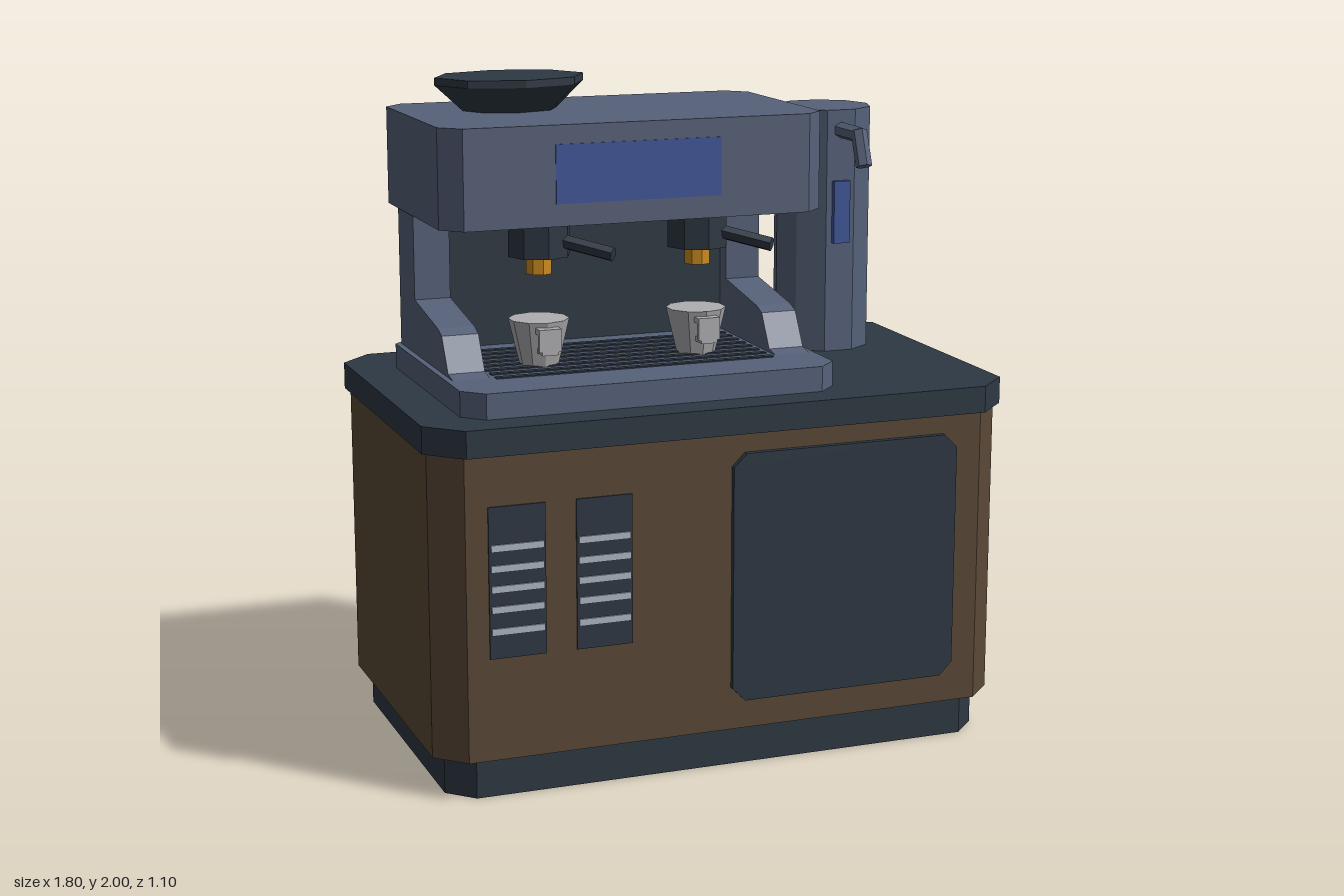
import * as THREE from 'three';

const mat = (name, color) => {
  const m = new THREE.MeshStandardMaterial({ color });
  m.name = name;
  m.flatShading = true;
  return m;
};

export function createModel() {
  const root = new THREE.Group();
  root.name = 'coffeeStation';
  const steel = mat('blueSteel', 0x566179);
  const dark = mat('darkSlate', 0x2e3843);
  const wood = mat('brownWood', 0x5a4836);
  const blue = mat('displayBlue', 0x3f5598);
  const brass = mat('brass', 0xcc8c20);
  const pale = mat('paleMetal', 0xaeb9c4);
  const cupGrey = mat('cupGrey', 0xaeaeb2);

  const add = (name, geo, material, x = 0, y = 0, z = 0, parent = root) => {
    const m = new THREE.Mesh(geo, material);
    m.name = name;
    m.position.set(x, y, z);
    parent.add(m);
    return m;
  };

  // Box given by its limits on each axis
  const box = (name, material, x0, x1, y0, y1, z0, z1, parent = root) =>
    add(name, new THREE.BoxGeometry(x1 - x0, y1 - y0, z1 - z0), material,
      (x0 + x1) / 2, (y0 + y1) / 2, (z0 + z1) / 2, parent);

  // Rectangle with cut corners
  const cutRect = (w, h, c) => new THREE.Shape([
    [-w + c, -h], [w - c, -h], [w, -h + c], [w, h - c],
    [w - c, h], [-w + c, h], [-w, h - c], [-w, -h + c],
  ].map(([a, b]) => new THREE.Vector2(a, b)));

  // Upright block with chamfered vertical edges
  const block = (name, material, x, z, w, d, c, y0, y1) => {
    const g = new THREE.ExtrudeGeometry(cutRect(w, d, c), { depth: y1 - y0, bevelEnabled: false });
    g.rotateX(-Math.PI / 2);
    return add(name, g, material, x, y0, z);
  };

  // Straight rod between two points
  const rod = (name, material, a, b, r, parent = root) => {
    const p = new THREE.Vector3(...a), q = new THREE.Vector3(...b);
    const m = add(name, new THREE.CylinderGeometry(r, r, p.distanceTo(q), 6), material, 0, 0, 0, parent);
    m.position.copy(p).lerp(q, 0.5);
    m.quaternion.setFromUnitVectors(new THREE.Vector3(0, 1, 0), q.sub(p).normalize());
    return m;
  };

  // Cabinet
  block('plinth', dark, 0, 0, 0.845, 0.49, 0.075, 0, 0.12);
  block('cabinet', wood, 0, 0, 0.885, 0.52, 0.085, 0.12, 1.02);
  block('counterTop', dark, 0, 0, 0.9, 0.548, 0.1, 1.02, 1.1);
  add('door', new THREE.ExtrudeGeometry(cutRect(0.357, 0.375, 0.04), { depth: 0.018, bevelEnabled: false }),
    dark, 0.358, 0.585, 0.52);

  // Two vents with pale slats
  for (const x of [-0.65, -0.39]) {
    box('vent', dark, x - 0.084, x + 0.084, 0.425, 0.87, 0.517, 0.525);
    for (const y of [0.505, 0.57, 0.63, 0.69, 0.75])
      box('ventSlat', pale, x - 0.078, x + 0.078, y - 0.01, y + 0.01, 0.522, 0.53);
  }

  // Espresso machine body
  const cx = -0.195;
  block('dripBase', steel, cx, 0.03, 0.573, 0.41, 0.06, 1.1, 1.175);
  block('machineHead', steel, cx, -0.04, 0.585, 0.335, 0.058, 1.61, 1.9);
  box('backPanel', dark, cx - 0.51, cx + 0.51, 1.175, 1.61, -0.368, -0.2);
  box('neck', dark, cx - 0.555, cx + 0.555, 1.59, 1.61, -0.32, -0.15);
  box('headDisplay', blue, -0.45, 0.055, 1.675, 1.845, 0.29, 0.298);

  // Side columns and sloping cheeks, mirrored
  const cheek = new THREE.Shape([
    [-0.27, 1.17], [-0.2, 1.185], [-0.14, 1.285], [-0.1, 1.3], [0.15, 1.34], [0.15, 1.17],
  ].map(([a, b]) => new THREE.Vector2(a, b)));
  const column = new THREE.Shape([
    [-0.055, 0.15], [0.055, 0.15], [0.055, 0.32], [0.015, 0.362], [-0.055, 0.362],
  ].map(([a, b]) => new THREE.Vector2(a, b)));
  for (const s of [-1, 1]) {
    const pts = column.getPoints().map((p) => new THREE.Vector2(p.x * s, -p.y));
    const g = new THREE.ExtrudeGeometry(new THREE.Shape(pts), { depth: 0.415, bevelEnabled: false });
    g.rotateX(-Math.PI / 2);
    g.scale(1, 1, -1);
    // Restore outward winding after the flip
    const a = g.attributes.position;
    for (let i = 0; i < a.count; i += 3) {
      const p = new THREE.Vector3().fromBufferAttribute(a, i);
      const q = new THREE.Vector3().fromBufferAttribute(a, i + 1);
      a.setXYZ(i, q.x, q.y, q.z);
      a.setXYZ(i + 1, p.x, p.y, p.z);
    }
    g.scale(1, 1, 1);
    g.computeVertexNormals();
    const m = add('sideColumn', g, steel, cx + s * 0.5, 1.175, 0);
    g.computeBoundingBox();
    if (g.boundingBox.max.z > 0) m.position.z = 0, m.rotation.y = Math.PI, m.position.x = cx + s * 0.5;
    if (m.rotation.y) g.scale(-1, 1, 1), flip(g);

    const c = new THREE.ExtrudeGeometry(cheek, { depth: 0.11, bevelEnabled: false });
    c.rotateY(Math.PI / 2);
    add('sideCheek', c, steel, cx + s * 0.5 - 0.055, 0, 0);
  }

  // Drip grate slots
  for (let i = 0; i < 8; i++) {
    const z = -0.12 + i * 0.054;
    box('grateSlot', dark, cx - 0.43, cx + 0.43, 1.172, 1.179, z - 0.011, z + 0.011);
  }

  // Bean hopper: an eight-sided flared bowl, squashed in depth
  const hopper = new THREE.Group();
  hopper.name = 'beanHopper';
  hopper.position.set(-0.453, 1.9, -0.127);
  hopper.scale.z = 0.725;
  root.add(hopper);
  add('hopperBowl', new THREE.CylinderGeometry(0.23, 0.145, 0.078, 8), dark, 0, 0.039, 0, hopper);
  add('hopperRim', new THREE.CylinderGeometry(0.23, 0.23, 0.022, 8), dark, 0, 0.089, 0, hopper);

  // Brew groups with a cup under each
  for (const x of [-0.445, 0.05]) {
    const brew = new THREE.Group();
    brew.name = 'brewGroup';
    brew.position.set(x, 0, 0.115);
    root.add(brew);
    add('groupHead', new THREE.CylinderGeometry(0.094, 0.094, 0.11, 8), dark, 0, 1.555, 0, brew);
    add('spout', new THREE.CylinderGeometry(0.04, 0.04, 0.06, 8), brass, 0, 1.477, 0, brew);
    rod('filterHandle', dark, [0.04, 1.55, 0.04], [0.175, 1.516, 0.155], 0.022, brew);

    const cup = new THREE.Group();
    cup.name = 'cup';
    cup.position.set(x, 1.175, 0.105);
    root.add(cup);
    add('cupBody', new THREE.CylinderGeometry(0.09, 0.058, 0.137, 10), cupGrey, 0, 0.0685, 0, cup);
    box('handleTop', cupGrey, -0.034, 0.034, 0.105, 0.122, 0.06, 0.11, cup);
    box('handleFront', cupGrey, -0.034, 0.034, 0.055, 0.122, 0.097, 0.112, cup);
    box('handleBottom', cupGrey, -0.025, 0.025, 0.045, 0.06, 0.05, 0.112, cup);
  }

  // Water tower with display and tap
  const tower = add('waterTower', new THREE.CylinderGeometry(0.152, 0.152, 0.76, 10), steel, 0.604, 1.48, -0.223);
  tower.rotation.y = Math.PI / 10;
  box('towerDisplay', blue, 0.576, 0.63, 1.445, 1.64, -0.085, -0.06);
  rod('tapArm', steel, [0.604, 1.797, -0.1], [0.604, 1.797, 0.06], 0.025);
  rod('tapNozzle', steel, [0.604, 1.81, 0.05], [0.604, 1.705, 0.092], 0.025);

  return root;
}

// Reverses the triangle order of a non-indexed geometry
function flip(g) {
  const a = g.attributes.position;
  for (let i = 0; i < a.count; i += 3) {
    const p = new THREE.Vector3().fromBufferAttribute(a, i);
    const q = new THREE.Vector3().fromBufferAttribute(a, i + 1);
    a.setXYZ(i, q.x, q.y, q.z);
    a.setXYZ(i + 1, p.x, p.y, p.z);
  }
  g.computeVertexNormals();
}
